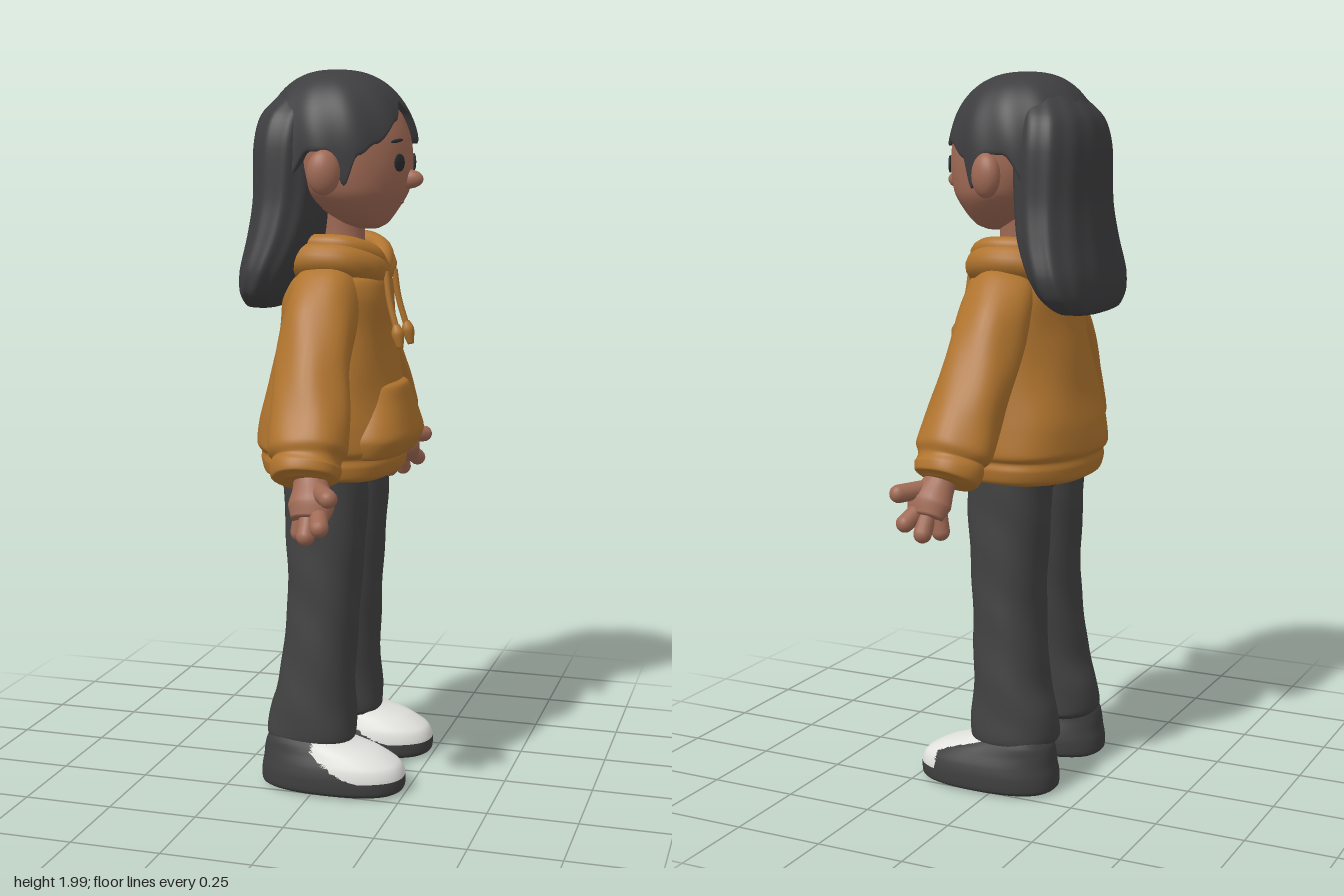
import * as THREE from 'three';

const mat = (name, color) => Object.assign(new THREE.MeshStandardMaterial({ color }), { name });

// Closed-round surface: at(t, k) gives a point for row t in 0..1 and angle k in 0..2PI
function surface(at, rows, cols) {
  const pos = [], idx = [];
  for (let i = 0; i <= rows; i++)
    for (let j = 0; j < cols; j++) pos.push(...at(i / rows, (j / cols) * Math.PI * 2).toArray());
  for (let i = 0; i < rows; i++)
    for (let j = 0; j < cols; j++) {
      const n = (j + 1) % cols, a = i * cols, b = a + cols;
      idx.push(a + j, b + j, b + n, a + j, b + n, a + n);
    }
  const g = new THREE.BufferGeometry();
  g.setAttribute('position', new THREE.Float32BufferAttribute(pos, 3));
  g.setIndex(idx);
  g.computeVertexNormals();
  return g;
}

// Loft through sections [x, y, z, radiusSide, radiusDepth]; ends are closed. Level lofts run bottom to top
function loft(secs, { level = false, p = 2, rows = 40, cols = 36, fold = () => 0 } = {}) {
  const path = new THREE.CatmullRomCurve3(secs.map(s => new THREE.Vector3(s[0], s[1], s[2])), false, 'catmullrom', 0.4);
  const radii = new THREE.CatmullRomCurve3(secs.map(s => new THREE.Vector3(s[3], s[4], 0)), false, 'catmullrom', 0.4);
  const bend = v => Math.sign(v) * Math.pow(Math.abs(v), 2 / p);
  return surface((t, a) => {
    const end = t === 0 || t === 1;
    const u = THREE.MathUtils.clamp((t * rows - 1) / (rows - 2), 0, 1);
    const c = path.getPoint(u), r = radii.getPoint(u);
    const T = level ? new THREE.Vector3(0, 1, 0) : path.getTangent(u);
    const N = T.clone().cross(new THREE.Vector3(0, 0, 1)).normalize();
    const W = N.clone().cross(T);
    const k = end ? 0 : 1 + fold(c.y, a);
    return c.addScaledVector(N, bend(Math.cos(a)) * r.x * k).addScaledVector(W, bend(Math.sin(a)) * r.y * k);
  }, rows, cols);
}
// Upright loft from [y, z, radiusX, radiusZ]
const stack = (secs, opt) => loft(secs.map(([y, z, rx, rz]) => [0, y, z, rx, rz]), { level: true, ...opt });
const vec = a => new THREE.Vector3(...a);

export function createModel() {
  const hairMat = mat('dark hair', 0x3e3e40), pantsMat = mat('charcoal trousers', 0x424242);
  const hoodieMat = mat('ochre hoodie', 0xb0742e), skinMat = mat('skin', 0xa06a55);
  const whiteMat = mat('shoe white', 0xe2e2de), soleMat = mat('shoe dark', 0x3f3f40);
  const eyeMat = mat('eye dark', 0x2b2c30), lipMat = mat('lip', 0x824d43);

  const body = new THREE.Group();
  body.name = 'girl';
  const add = (name, geo, m, parent = body) => {
    const mesh = new THREE.Mesh(geo, m);
    mesh.name = name;
    parent.add(mesh);
    return mesh;
  };
  const blob = (name, m, at, size, ry = 0) => {
    const b = add(name, new THREE.SphereGeometry(1, 24, 16), m);
    b.position.set(...at);
    b.scale.set(...size);
    b.rotation.y = ry;
    return b;
  };

  // Head, neck and face
  add('head', stack([[1.57, .09, .03, .03], [1.585, .085, .085, .06], [1.62, .07, .14, .1], [1.67, .05, .18, .15],
    [1.74, .035, .192, .178], [1.82, .03, .19, .175], [1.9, .02, .165, .15], [1.96, 0, .09, .08]]), skinMat);
  add('neck', stack([[1.42, .03, .1, .09], [1.48, .025, .075, .07], [1.54, .02, .06, .06], [1.64, .02, .065, .06]]), skinMat);
  blob('nose', skinMat, [0, 1.705, .205], [.022, .026, .042]);
  blob('mouth', lipMat, [0, 1.642, .187], [.012, .004, .004]);
  for (const s of [-1, 1]) {
    blob('ear', skinMat, [s * .208, 1.725, .025], [.033, .06, .045], s * -.35);
    blob('eye', eyeMat, [s * .08, 1.75, .2], [.022, .024, .005], s * .42);
    const brow = blob('eyebrow', eyeMat, [s * .085, 1.808, .194], [.026, .005, .005], s * .42);
    brow.rotation.z = s * -.12;
  }

  // Hair cap with a parted fringe; edge height by angle from the front
  const edge = [[-180, 1.66], [-120, 1.68], [-97, 1.78], [-82, 1.78], [-70, 1.69], [-60, 1.77], [-45, 1.8], [-22, 1.86],
    [-6, 1.91], [3, 1.885], [16, 1.8], [22, 1.82], [40, 1.81], [60, 1.77], [70, 1.69], [82, 1.78], [97, 1.78], [120, 1.68], [180, 1.66]];
  const edgeY = deg => {
    const i = Math.max(1, edge.findIndex(e => e[0] >= deg));
    const [a, b] = [edge[i - 1], edge[i]];
    return a[1] + (b[1] - a[1]) * THREE.MathUtils.smoothstep(deg, a[0], b[0]);
  };
  add('hairCap', surface((t, a) => {
    const deg = ((THREE.MathUtils.radToDeg(a) + 180) % 360) - 180;
    const v = Math.min(1, t / .9), tuck = 1 - Math.max(0, t - .9) * 1.4;
    const th = v * Math.acos((edgeY(deg) - 1.775) / .225);
    const s = Math.pow(Math.sin(Math.min(th, Math.PI / 2)), .8);
    const lump = 1 + s * s * (.014 * Math.sin(a * 11 + 3 * Math.cos(th)) + .05 * Math.exp(-(((deg - 12) / 13) ** 2)));
    return new THREE.Vector3(Math.sin(a) * s * .207 * lump * tuck, 1.775 + .225 * Math.cos(th),
      Math.cos(a) * s * .212 * lump * tuck + .006 * s);
  }, 44, 180), hairMat);

  // Long hair down the back
  add('longHair', stack([[1.348, -.19, .08, .025], [1.36, -.185, .165, .055], [1.4, -.172, .222, .078], [1.46, -.153, .24, .095],
    [1.55, -.125, .225, .107], [1.65, -.11, .208, .11], [1.8, -.105, .2, .115], [1.88, -.095, .172, .105], [1.95, -.06, .1, .075]],
    { p: 2.2, cols: 120, fold: (y, a) => .014 * Math.sin(a * 13 + y * 4) }), hairMat);

  // Hoodie body, pocket and hem
  const crease = (y, a) => .01 * Math.sin(a * 5 + y * 17) + .006 * Math.sin(a * 3 - y * 31);
  add('hoodieBody', stack([[.885, -.005, .205, .17], [.898, -.005, .232, .19], [.93, -.005, .24, .197], [.952, -.005, .236, .195],
    [.975, -.005, .248, .206], [1.05, -.003, .243, .2], [1.15, 0, .225, .178], [1.3, .005, .208, .152], [1.39, .01, .2, .145],
    [1.44, .012, .17, .13], [1.465, .015, .08, .06]], { p: 2.35, rows: 70, cols: 60, fold: crease }), hoodieMat);
  add('pocket', stack([[.945, .1, .17, .085], [.955, .1, .195, .115], [1, .1, .206, .137], [1.04, .1, .19, .13],
    [1.1, .1, .152, .112], [1.14, .1, .13, .098], [1.152, .1, .11, .07]], { p: 2.7, cols: 60 }), hoodieMat);

  // Hood collar: two closed rolls dipping to a V at the front
  const roll = (name, half, r) => {
    const pts = [...half, ...half.slice(1, -1).reverse().map(([x, y, z]) => [-x, y, z])].map(vec);
    add(name, new THREE.TubeGeometry(new THREE.CatmullRomCurve3(pts, true), 80, r, 14, true), hoodieMat);
  };
  roll('hoodOuter', [[0, 1.45, .11], [.07, 1.468, .108], [.128, 1.487, .06], [.135, 1.49, -.02], [.095, 1.48, -.085], [0, 1.475, -.1]], .046);
  roll('hoodRim', [[0, 1.462, .125], [.06, 1.5, .118], [.115, 1.526, .065], [.12, 1.53, -.01], [.085, 1.525, -.075], [0, 1.52, -.095]], .029);

  for (const s of [-1, 1]) {
    const side = new THREE.Group();
    side.name = s > 0 ? 'leftSide' : 'rightSide';
    body.add(side);
    const limb = (name, secs, m, opt) => add(name, loft(secs.map(([x, ...r]) => [x * s, ...r]), opt), m, side);

    // Drawstring with a bead
    const cord = [[.045, 1.455, .155], [.05, 1.38, .165], [.056, 1.29, .19]].map(([x, y, z]) => vec([x * s, y, z]));
    add('drawstring', new THREE.TubeGeometry(new THREE.CatmullRomCurve3(cord), 16, .009, 8), hoodieMat, side);
    limb('drawstringEnd', [[.056, 1.31, .187, .009, .009], [.057, 1.285, .192, .018, .018], [.059, 1.245, .2, .009, .009]], hoodieMat,
      { rows: 12, cols: 12 });

    // Sleeve with gathered cuff
    limb('sleeve', [[.1, 1.45, .01, .04, .06], [.14, 1.41, .01, .075, .095], [.2, 1.32, .01, .092, .102], [.28, 1.2, .015, .084, .102],
      [.345, 1.08, .028, .085, .107], [.382, 1.01, .033, .089, .108], [.395, .985, .035, .077, .092], [.405, .965, .035, .083, .096],
      [.418, .94, .037, .078, .088], [.424, .93, .038, .05, .06]], hoodieMat, { rows: 60, fold: (y, a) => 2 * crease(y, a) });

    // Hand with thumb and three fingers
    limb('palm', [[.405, .965, .045, .036, .04], [.43, .92, .058, .04, .048], [.457, .88, .068, .045, .062],
      [.48, .845, .07, .03, .05]], skinMat, { rows: 20, cols: 20 });
    const tips = [['thumb', [.44, .915, .08], [.513, .91, .13]], ['foreFinger', [.47, .865, .09], [.519, .834, .108]],
      ['middleFinger', [.47, .86, .065], [.502, .806, .066]], ['littleFinger', [.455, .86, .045], [.457, .806, .036]]];
    for (const [name, a, b] of tips) {
      const A = vec([a[0] * s, a[1], a[2]]), B = vec([b[0] * s, b[1], b[2]]), d = B.clone().sub(A);
      const f = add(name, new THREE.CapsuleGeometry(.0245, d.length(), 6, 14), skinMat, side);
      f.position.copy(A).add(B).multiplyScalar(.5);
      f.quaternion.setFromUnitVectors(new THREE.Vector3(0, 1, 0), d.normalize());
    }

    // Trouser leg
    limb('trouserLeg', [[.11, .93, 0, .11, .115], [.111, .8, .003, .109, .115], [.118, .55, 0, .108, .1], [.135, .32, -.015, .106, .105],
      [.14, .22, -.025, .107, .122], [.143, .155, -.028, .106, .125], [.143, .135, -.028, .088, .105]], pantsMat,
      { p: 2.3, rows: 60, fold: (y, a) => (.012 + .03 * Math.max(0, .4 - y)) * Math.sin(a * 3 + y * 34) });

    // Shoe: dark sole and heel, white toe chosen by face position; the left one has a darker outer flank
    const shoe = loft([[0, .008, .04, .09, .185], [0, .022, .04, .112, .204], [0, .06, .04, .114, .205], [0, .09, .035, .108, .195],
      [0, .12, .01, .096, .167], [0, .145, -.025, .086, .125], [0, .17, -.04, .075, .09]], { level: true, p: 2.4, rows: 60, cols: 90 });
    const P = shoe.attributes.position, parts = [[], []], idx = shoe.index.array;
    for (let i = 0; i < idx.length; i += 3) {
      const tri = [idx[i], idx[i + 1], idx[i + 2]];
      const [x, y, z] = [0, 1, 2].map(k => tri.reduce((sum, v) => sum + P.getComponent(v, k) / 3, 0));
      const flank = s > 0 && x > .075 && z < .17;
      const white = z > 0 && !flank && y > .055 + 3 * Math.max(0, .16 - z) ** 2;
      parts[white ? 1 : 0].push(...tri);
    }
    shoe.setIndex(parts.flat());
    shoe.addGroup(0, parts[0].length, 0);
    shoe.addGroup(parts[0].length, parts[1].length, 1);
    add('shoe', shoe, [soleMat, whiteMat], side).position.x = s * .165;
  }

  // Hips joining the legs under the hem
  add('hips', stack([[.83, 0, .02, .05], [.86, 0, .1, .095], [.9, 0, .19, .12], [.95, 0, .2, .13]]), pantsMat);

  // The figure looks along +x
  body.rotation.y = Math.PI / 2;
  const model = new THREE.Group();
  model.name = 'model';
  model.add(body);
  return model;
}
